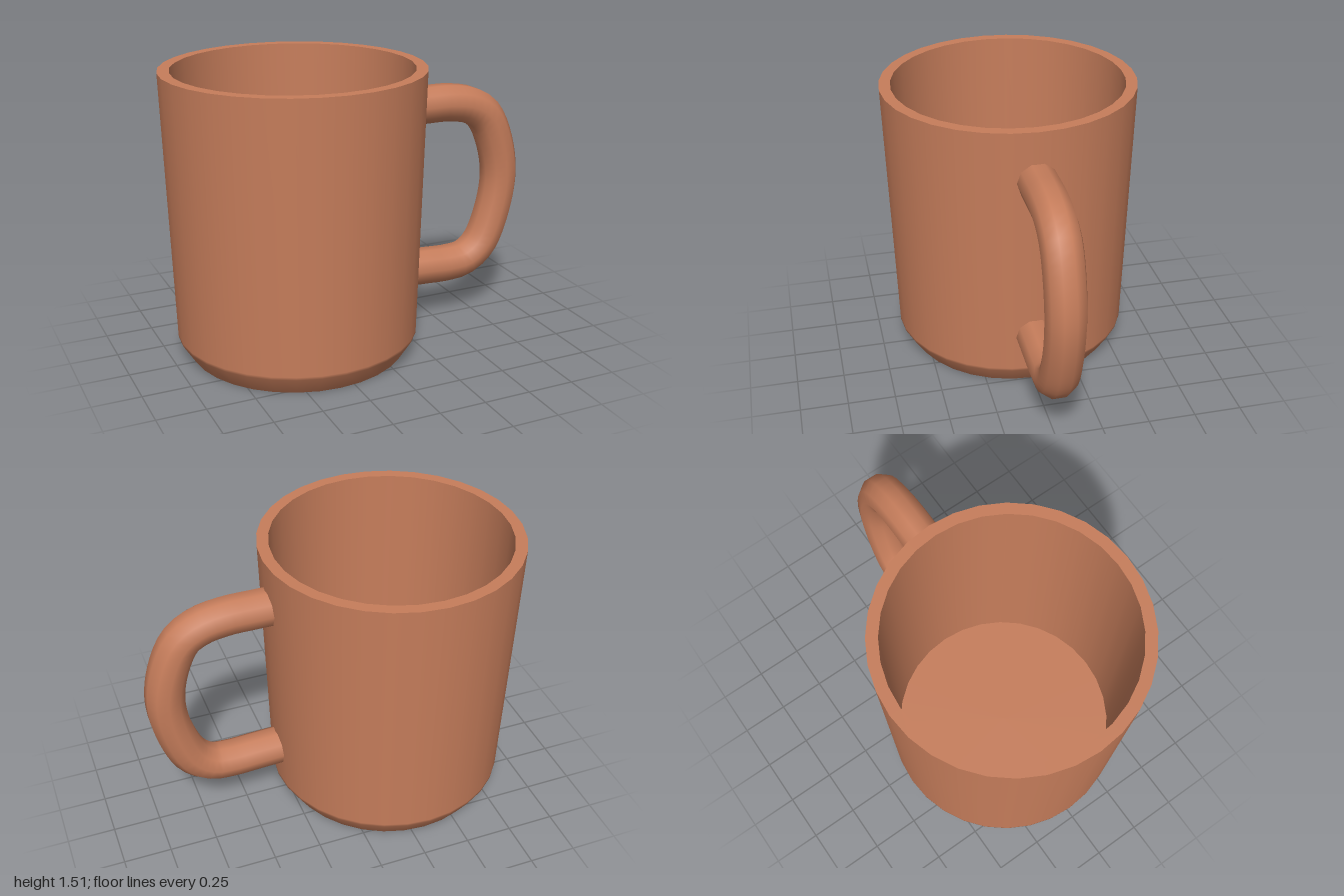
import * as THREE from 'three';

export function createModel() {
  const group = new THREE.Group();
  group.name = 'mug';
  const clay = new THREE.MeshStandardMaterial({ color: 0xc67d5b });
  clay.name = 'terracotta';

  const add = (name, geometry, parent) => {
    const mesh = new THREE.Mesh(geometry, clay);
    mesh.name = name;
    parent.add(mesh);
  };
  // Each turned section is its own lathe, so the edges between them stay sharp
  const turn = (points) =>
    new THREE.LatheGeometry(points.map(([r, y]) => new THREE.Vector2(r, y)), 32);

  // Cup, standing off centre to balance the handle
  const cup = new THREE.Group();
  cup.name = 'cup';
  cup.position.x = -0.325;
  group.add(cup);
  add('outerWallAndBase', turn([[0, 0], [0.56, 0], [0.573, 0], [0.636, 0.1], [0.637, 0.115], [0.675, 1.51]]), cup);
  add('rim', turn([[0.675, 1.51], [0.615, 1.51]]), cup);
  add('innerWall', turn([[0.615, 1.51], [0.595, 0.1]]), cup);
  add('innerFloor', turn([[0.595, 0.1], [0, 0.1]]), cup);

  // Handle, its ends buried in the thickness of the wall
  const path = new THREE.CatmullRomCurve3([
    [0.3, 1.24], [0.42, 1.24], [0.56, 1.238], [0.69, 1.212], [0.785, 1.15],
    [0.86, 1.0], [0.896, 0.8], [0.862, 0.58], [0.785, 0.4], [0.69, 0.325],
    [0.58, 0.31], [0.44, 0.315], [0.285, 0.321],
  ].map(([x, y]) => new THREE.Vector3(x, y, 0)));
  add('handle', new THREE.TubeGeometry(path, 40, 0.103, 10), group);

  return group;
}
